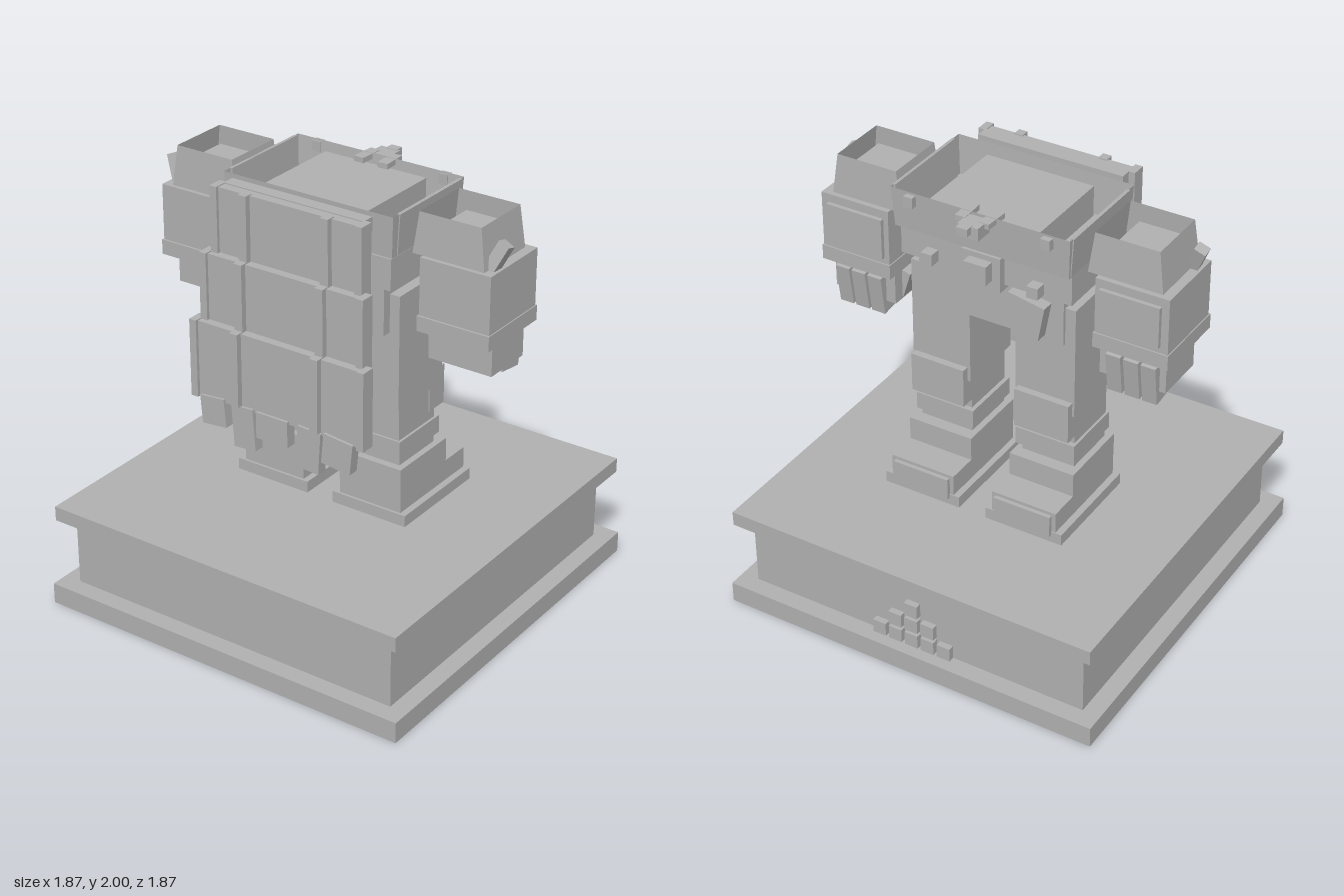
import * as THREE from 'three';

export function createModel() {
  const model = new THREE.Group();
  const stone = new THREE.MeshStandardMaterial({ color: 0xb0b0b0, side: THREE.DoubleSide });
  stone.name = 'stone grey';

  const add = (name, geometry, parent = model) => {
    const mesh = new THREE.Mesh(geometry, stone);
    mesh.name = name;
    parent.add(mesh);
    return mesh;
  };
  // Box given by its minimum and maximum on each axis
  const box = (name, x0, x1, y0, y1, z0, z1, parent) => {
    const mesh = add(name, new THREE.BoxGeometry(x1 - x0, y1 - y0, z1 - z0), parent);
    mesh.position.set((x0 + x1) / 2, (y0 + y1) / 2, (z0 + z1) / 2);
    return mesh;
  };
  // Box given by centre, size and rotation
  const tilted = (name, c, s, r, parent) => {
    const mesh = add(name, new THREE.BoxGeometry(...s), parent);
    mesh.position.set(...c);
    mesh.rotation.set(...r);
    return mesh;
  };
  // Open-topped shell; bottom and top are [x0, x1, z0, z1]
  const shell = (name, bottom, top, y0, y1, parent) => {
    const ring = ([x0, x1, z0, z1], y) => [[x0, y, z1], [x1, y, z1], [x1, y, z0], [x0, y, z0]];
    const b = ring(bottom, y0), t = ring(top, y1), points = [];
    for (let i = 0; i < 4; i++) {
      const j = (i + 1) % 4;
      points.push(...b[i], ...b[j], ...t[j], ...b[i], ...t[j], ...t[i]);
    }
    points.push(...b[0], ...b[2], ...b[1], ...b[0], ...b[3], ...b[2]);
    const g = new THREE.BufferGeometry();
    g.setAttribute('position', new THREE.Float32BufferAttribute(points, 3));
    g.computeVertexNormals();
    return add(name, g, parent);
  };

  // Plinth
  box('plinthFoot', -0.935, 0.935, 0, 0.1, -0.935, 0.935);
  box('plinthBlock', -0.85, 0.85, 0.1, 0.43, -0.85, 0.85);
  box('plinthTop', -0.915, 0.915, 0.43, 0.5, -0.915, 0.915);

  // Stepped pyramid of blocks on the plinth
  [5, 3, 1].forEach((count, row) => {
    for (let i = 0; i < count; i++) {
      const x = (i - (count - 1) / 2) * 0.083, y = 0.1 + row * 0.083;
      box('pyramidBlock', x - 0.033, x + 0.033, y, y + 0.067, -0.88, -0.84);
    }
  });

  for (const side of [-1, 1]) {
    const name = side > 0 ? 'left' : 'right';
    const sbox = (part, x0, x1, ...rest) =>
      side > 0 ? box(part, x0, x1, ...rest) : box(part, -x1, -x0, ...rest);

    // Leg, from sole to thigh
    const leg = new THREE.Group();
    leg.name = name + 'Leg';
    model.add(leg);
    sbox('sole', 0.07, 0.457, 0.5, 0.555, -0.365, 0.165, leg);
    sbox('foot', 0.1, 0.425, 0.555, 0.655, -0.36, 0.153, leg);
    sbox('toePlate', 0.12, 0.405, 0.535, 0.64, -0.38, -0.36, leg);
    sbox('boot', 0.1, 0.425, 0.655, 0.77, -0.21, 0.155, leg);
    sbox('ankle', 0.13, 0.395, 0.77, 0.81, -0.15, 0.12, leg);
    sbox('ankleBand', 0.11, 0.407, 0.81, 0.895, -0.175, 0.137, leg);
    sbox('shin', 0.13, 0.395, 0.895, 1.06, -0.15, 0.127, leg);
    sbox('kneePad', 0.13, 0.4, 0.94, 1.13, -0.22, -0.105, leg);
    sbox('thigh', 0.115, 0.41, 1.06, 1.6, -0.185, 0.155, leg);

    // Arm, with a hollow upper end
    const arm = new THREE.Group();
    arm.name = name + 'Arm';
    model.add(arm);
    const span = (a, b) => (side > 0 ? [a, b] : [-b, -a]);
    shell('upperArm', [...span(0.46, 0.81), -0.18, 0.14], [...span(0.485, 0.785), -0.17, 0.13], 1.81, 2, arm);
    sbox('upperArmFloor', 0.53, 0.775, 1.82, 1.915, -0.16, 0.127, arm);
    sbox('forearm', 0.51, 0.855, 1.545, 1.81, -0.205, 0.16, arm);
    sbox('forearmPanel', 0.535, 0.82, 1.575, 1.77, -0.225, -0.2, arm);
    sbox('cuff', 0.505, 0.86, 1.475, 1.545, -0.212, 0.17, arm);
    sbox('hand', 0.515, 0.83, 1.32, 1.475, -0.16, 0.09, arm);
    for (const x of [0.598, 0.682, 0.765])
      tilted('finger', [side * x, 1.365, -0.125], [0.07, 0.195, 0.13], [-0.14, 0, 0], arm);
    tilted('thumb', [side * 0.515, 1.4, -0.06], [0.05, 0.13, 0.09], [0, 0, side * 0.3], arm);
    tilted('elbowSpike', [side * 0.835, 1.865, 0.07], [0.055, 0.13, 0.05], [-0.25, 0, -side * 0.42], arm);

    // Chest side plate and studs
    const plate = sbox('chestSidePlate', 0.42, 0.435, 1.815, 2, -0.265, 0.205);
    plate.rotation.z = -side * 0.06;
    sbox('chestStud', 0.31, 0.355, 1.94, 1.99, -0.315, -0.28);
    tilted('beltStud', [side * 0.26, 1.7, -0.265], [0.055, 0.055, 0.06], [0, 0, 0]);
    tilted('emblemWing', [side * 0.06, 1.985, -0.28], [0.05, 0.025, 0.12], [0, side * 0.05, 0]);
  }

  // Torso: open shell with a raised core, belt and pelvis
  shell('chest', [-0.425, 0.425, -0.275, 0.24], [-0.435, 0.435, -0.287, 0.25], 1.81, 2);
  box('chestCore', -0.265, 0.265, 1.82, 1.965, -0.255, 0.21);
  box('belt', -0.42, 0.42, 1.66, 1.805, -0.24, 0.24);
  box('pelvis', -0.36, 0.36, 1.42, 1.66, -0.2, 0.2);
  box('buckle', -0.095, 0.095, 1.635, 1.8, -0.275, -0.2);
  box('buckleCentre', -0.055, 0.055, 1.685, 1.775, -0.325, -0.27);
  tilted('hipTag', [-0.2, 1.55, -0.235], [0.18, 0.17, 0.06], [0, 0, 0.18]);
  tilted('emblemBody', [-0.01, 1.965, -0.345], [0.1, 0.06, 0.09], [0, 0, 0]);
  tilted('emblemHead', [0, 1.98, -0.4], [0.055, 0.035, 0.045], [0, 0, 0]);

  // Cape: three overlapping ribbed panels
  const cape = new THREE.Group();
  cape.name = 'cape';
  model.add(cape);
  box('capeCollar', -0.36, 0.36, 1.935, 2, 0.29, 0.35, cape);
  const panels = [[0.39, 1.63, 2, 0.34], [0.425, 1.325, 1.7, 0.38], [0.457, 1.02, 1.39, 0.42]];
  for (const [w, y0, y1, z] of panels) {
    box('capePanel', -w + 0.01, w - 0.01, y0 + 0.005, y1 - 0.005, z + 0.01, z + 0.055, cape);
    for (const side of [-1, 1]) {
      const edge = side * (w - 0.018), rib = side * 0.21;
      box('capeEdge', edge - 0.018, edge + 0.018, y0, y1, z, z + 0.07, cape);
      box('capeRib', rib - 0.021, rib + 0.021, y0 + 0.02, y1, z + 0.04, z + 0.083, cape);
    }
  }

  // Torn strips at the hem: centre x, width, lower end, tilt
  const strips = [[-0.34, 0.13, 0.905, 0.09], [-0.175, 0.115, 0.84, 0.07], [-0.022, 0.167, 0.915, 0],
    [0.17, 0.12, 0.84, -0.06], [0.32, 0.15, 0.895, -0.1]];
  for (const [x, w, y, tilt] of strips)
    tilted('hemStrip', [x, (y + 1.04) / 2, 0.462], [w, 1.04 - y, 0.052], [0, 0, tilt], cape);

  return model;
}
